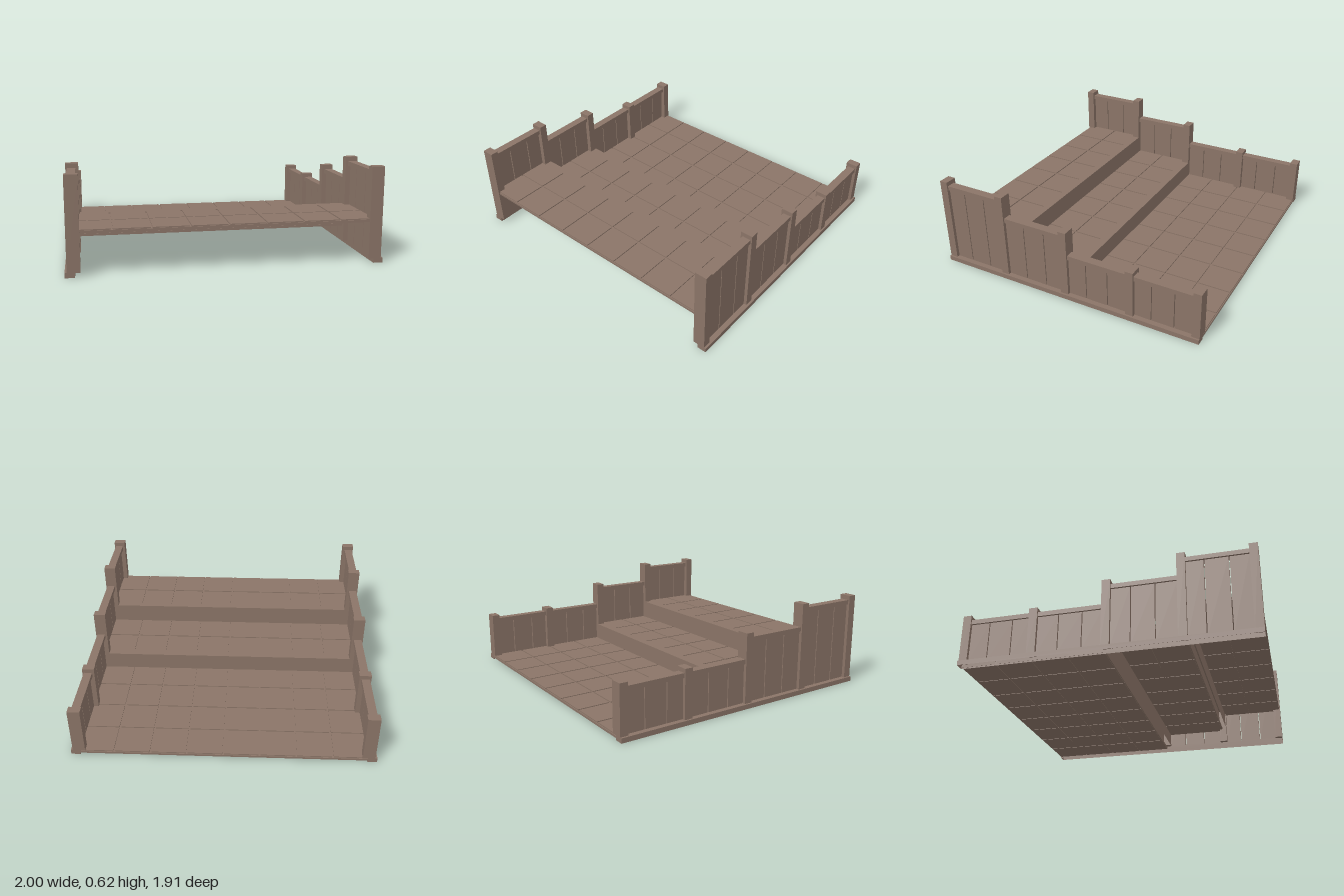
import * as THREE from 'three';

const wood = new THREE.MeshStandardMaterial({ color: 0x8a7467, side: THREE.DoubleSide });
wood.name = 'brownWood';

// Box given by its minimum and maximum on each axis
function box(parent, name, x0, x1, y0, y1, z0, z1) {
  const mesh = new THREE.Mesh(new THREE.BoxGeometry(x1 - x0, y1 - y0, z1 - z0), wood);
  mesh.position.set((x0 + x1) / 2, (y0 + y1) / 2, (z0 + z1) / 2);
  mesh.name = name;
  parent.add(mesh);
  return mesh;
}

// Leaves out the underside of a box, making a hollow channel
function openBelow(mesh) {
  const index = Array.from(mesh.geometry.index.array);
  index.splice(18, 6);
  mesh.geometry.setIndex(index);
  mesh.geometry.clearGroups();
}

// Tiled deck: separate tiles around a thinner bed that shows in the grooves
function deck(name, top, rows) {
  const g = new THREE.Group();
  g.name = name;
  const edge = 0.94, pitch = 0.238, gap = 0.006;
  const z0 = rows[0], z1 = rows[rows.length - 1];
  box(g, 'grooveBed', -edge + 0.002, edge - 0.002, top - 0.021, top - 0.007, z0, z1);
  for (let r = 0; r < rows.length - 1; r++) {
    for (let c = -4; c < 4; c++) {
      const x0 = Math.max(c * pitch + gap, -edge);
      const x1 = Math.min((c + 1) * pitch - gap, edge);
      box(g, 'floorTile', x0, x1, top - 0.024, top, rows[r] + gap, rows[r + 1] - gap);
    }
  }
  return g;
}

// One side wall, stepping down from front to back
function sideWall(side) {
  const g = new THREE.Group();
  g.name = side > 0 ? 'leftWall' : 'rightWall';
  const add = (name, x0, x1, ...rest) =>
    side > 0 ? box(g, name, x0, x1, ...rest) : box(g, name, -x1, -x0, ...rest);

  openBelow(add('baseRail', 0.938, 1, 0, 0.032, -0.955, 0.955));

  // Posts: back edge, front edge, height
  const posts = [
    [-0.955, -0.9, 0.355], [-0.503, -0.447, 0.355], [-0.028, 0.028, 0.497],
    [0.45, 0.505, 0.623], [0.9, 0.955, 0.623],
  ];
  posts.forEach(([z0, z1, h]) => add('post', 0.905, 0.987, 0.03, h, z0, z1));

  // Bays between posts: top rail and three planks with open gaps
  const tops = [0.327, 0.327, 0.466, 0.593];
  const pitch = 0.155, gap = 0.003, rail = 0.031;
  tops.forEach((top, i) => {
    const z0 = posts[i][1], z1 = posts[i + 1][0];
    add('topRail', 0.92, 0.977, top - rail, top, z0, z1);
    for (let k = 0; k < 3; k++) {
      const n = i * 3 - 6 + k;
      const a = k === 0 ? z0 : n * pitch + gap;
      const b = k === 2 ? z1 : (n + 1) * pitch - gap;
      add('wallPlank', 0.938, 0.965, 0.032, top - rail, a, b);
    }
  });
  return g;
}

export function createModel() {
  const model = new THREE.Group();
  model.name = 'steppedTerrace';

  // Three deck levels, rising to the front, each running under the next riser
  model.add(deck('lowerDeck', 0.033, [-0.955, -0.72, -0.483, -0.245, -0.005]));
  model.add(deck('middleDeck', 0.154, [0.02, 0.23, 0.472]));
  model.add(deck('upperDeck', 0.29, [0.49, 0.705, 0.948]));

  // Hollow risers with flush tops between the levels
  openBelow(box(model, 'lowerRiser', -0.938, 0.938, 0.033, 0.154, -0.028, 0.028));
  openBelow(box(model, 'upperRiser', -0.938, 0.938, 0.154, 0.29, 0.45, 0.498));

  model.add(sideWall(1), sideWall(-1));
  return model;
}
